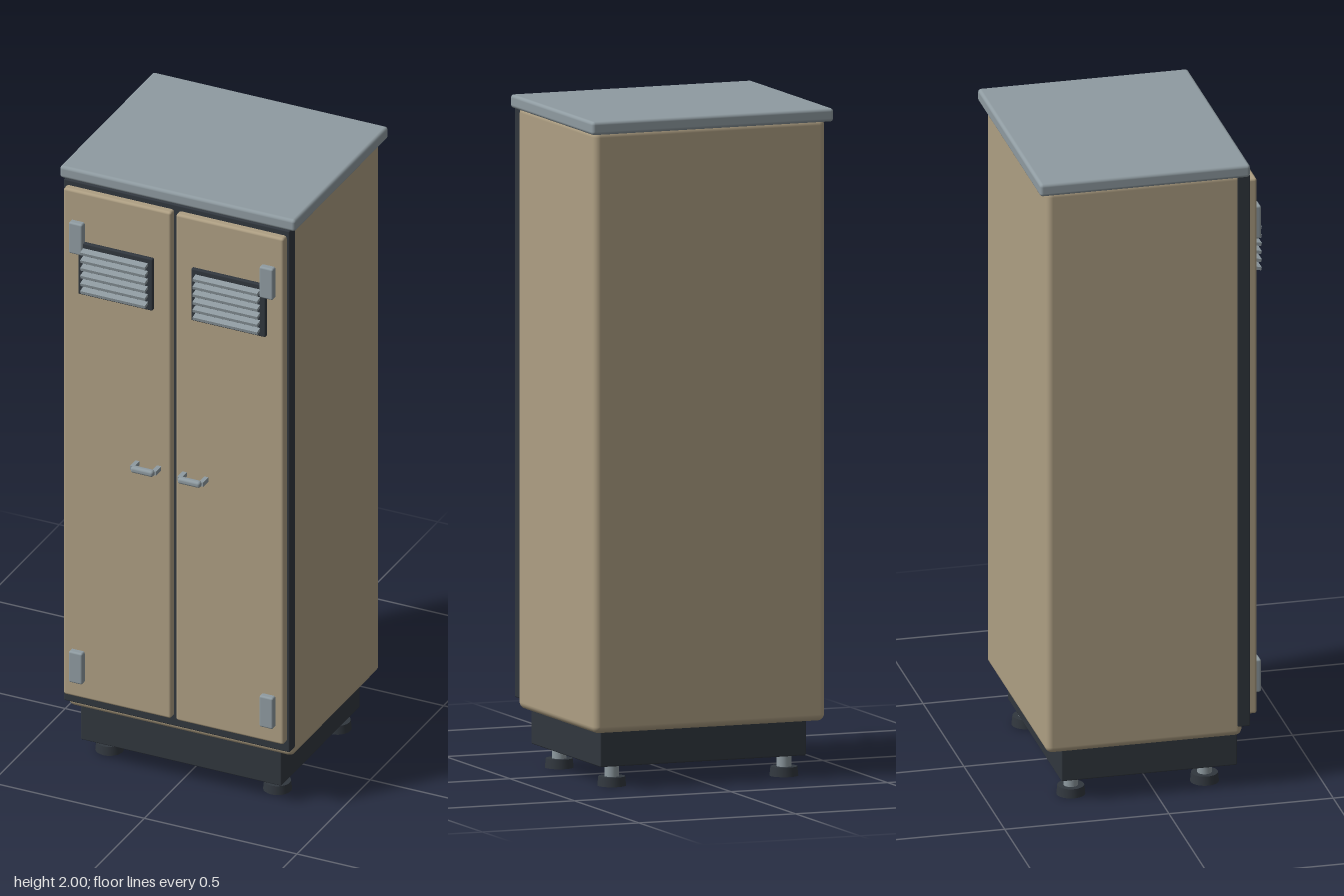
import * as THREE from 'three';
import { RoundedBoxGeometry } from 'three/addons/geometries/RoundedBoxGeometry.js';

function paint(name, color) {
  const m = new THREE.MeshStandardMaterial({ color });
  m.name = name;
  return m;
}

export function createModel() {
  const tan = paint('tan enamel', 0xae9f83);
  const steel = paint('grey steel', 0x8f9ba1);
  const dark = paint('dark trim', 0x31373e);

  const model = new THREE.Group();
  model.name = 'locker';

  const add = (parent, name, geometry, material, x, y, z) => {
    const mesh = new THREE.Mesh(geometry, material);
    mesh.name = name;
    mesh.position.set(x, y, z);
    parent.add(mesh);
    return mesh;
  };
  // Box given by its min and max corners, with optional rounded edges
  const block = (parent, name, material, [x0, y0, z0], [x1, y1, z1], r = 0) => {
    const size = [x1 - x0, y1 - y0, z1 - z0];
    const geometry = r ? new RoundedBoxGeometry(...size, 3, r) : new THREE.BoxGeometry(...size);
    return add(parent, name, geometry, material, (x0 + x1) / 2, (y0 + y1) / 2, (z0 + z1) / 2);
  };

  // Cabinet
  block(model, 'body', tan, [-0.37, 0.17, -0.34], [0.37, 1.968, 0.257], 0.02);
  block(model, 'doorFrame', dark, [-0.37, 0.2, 0.24], [0.37, 1.962, 0.28], 0.004);
  block(model, 'topPanel', steel, [-0.386, 1.96, -0.363], [0.386, 2, 0.277], 0.01);
  block(model, 'plinth', dark, [-0.329, 0.062, -0.285], [0.329, 0.185, 0.25], 0.004);

  // Levelling feet
  for (const x of [-0.275, 0.275]) {
    for (const z of [-0.243, 0.164]) {
      const foot = new THREE.Group();
      foot.name = 'foot';
      foot.position.set(x, 0, z);
      model.add(foot);
      add(foot, 'footStem', new THREE.CylinderGeometry(0.022, 0.022, 0.045, 20), steel, 0, 0.045, 0);
      add(foot, 'footPad', new THREE.CylinderGeometry(0.04, 0.043, 0.028, 24), dark, 0, 0.014, 0);
    }
  }

  // Doors, mirrored by side
  for (const [side, s] of [['left', 1], ['right', -1]]) {
    const door = new THREE.Group();
    door.name = side + 'Door';
    model.add(door);
    const part = (name, material, [x0, y0, z0], [x1, y1, z1], r) =>
      block(door, name, material, [Math.min(s * x0, s * x1), y0, z0], [Math.max(s * x0, s * x1), y1, z1], r);

    part('doorPanel', tan, [0.008, 0.234, 0.272], [0.361, 1.945, 0.303], 0.008);

    // Louvred vent
    part('ventPlate', dark, [0.063, 1.605, 0.295], [0.307, 1.78, 0.314], 0.004);
    for (let i = 0; i < 6; i++) {
      const y = 1.627 + i * 0.026;
      const slat = part('ventSlat', steel, [0.078, y - 0.005, 0.309], [0.29, y + 0.005, 0.334]);
      slat.rotation.x = 0.22;
    }

    // Hinges
    for (const y of [0.29, 1.74]) {
      part('hinge', steel, [0.29, y, 0.296], [0.335, y + 0.105, 0.322], 0.006);
    }

    // Handle: two posts and a rounded grip
    for (const x of [0.042, 0.113]) {
      part('handlePost', steel, [x - 0.007, 1.073, 0.312], [x + 0.007, 1.087, 0.348]);
    }
    part('handleGrip', steel, [0.04, 1.07, 0.34], [0.114, 1.09, 0.361], 0.008);
  }

  return model;
}
